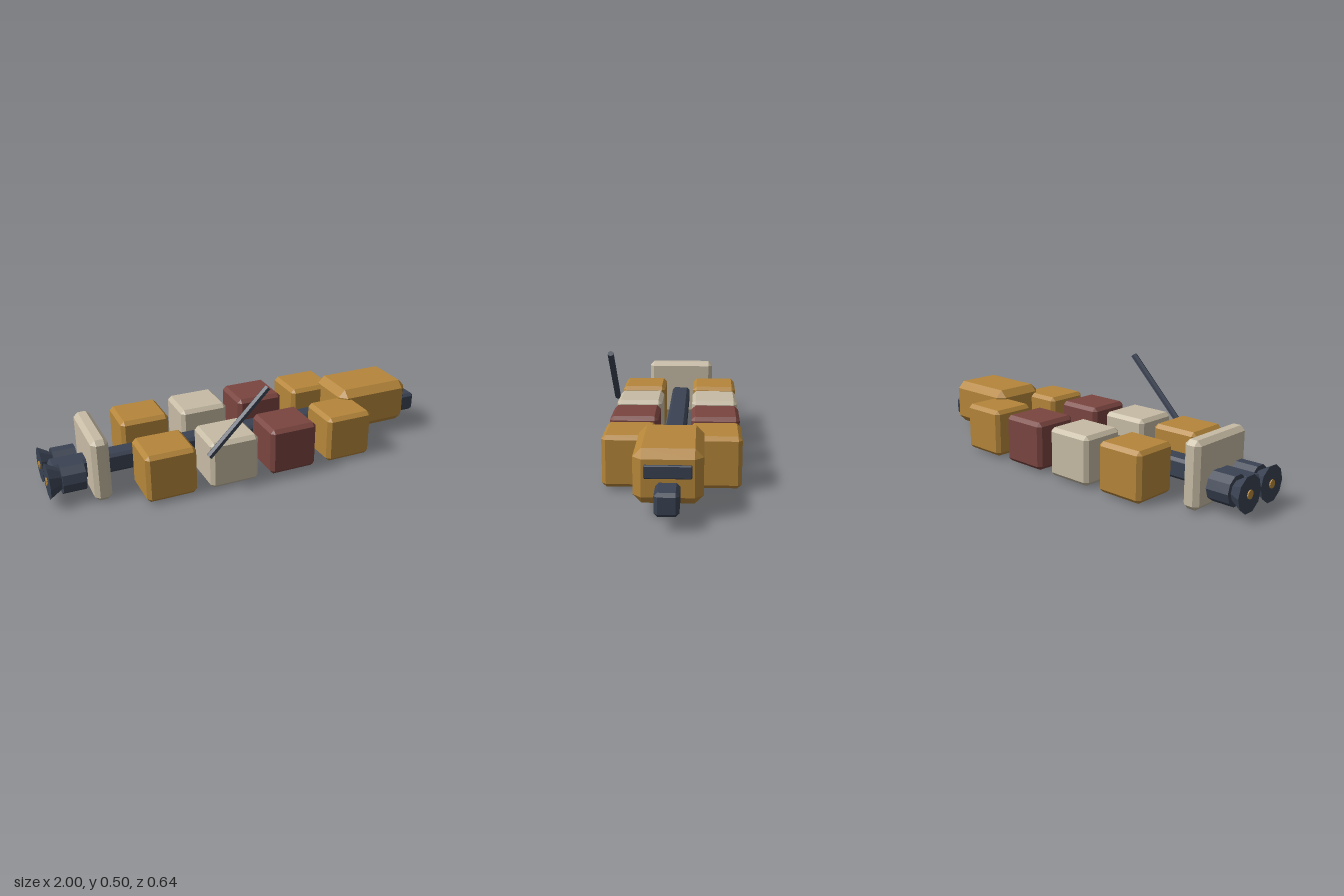
import * as THREE from 'three';
import { ConvexGeometry } from 'three/addons/geometries/ConvexGeometry.js';

const material = (name, color, flatShading = true) => {
  const m = new THREE.MeshStandardMaterial({ color, flatShading });
  m.name = name;
  return m;
};

// Box with 45 degree chamfers on every edge, given by its extents
function chamferBox([x0, x1], [y0, y1], [z0, z1], c) {
  const half = [(x1 - x0) / 2, (y1 - y0) / 2, (z1 - z0) / 2];
  const points = [];
  for (const sx of [-1, 1]) for (const sy of [-1, 1]) for (const sz of [-1, 1]) {
    for (let axis = 0; axis < 3; axis++) {
      const p = half.map((h, i) => (i === axis ? h : h - c));
      points.push(new THREE.Vector3(sx * p[0], sy * p[1], sz * p[2]));
    }
  }
  return new ConvexGeometry(points).translate((x0 + x1) / 2, (y0 + y1) / 2, (z0 + z1) / 2);
}

export function createModel() {
  const group = new THREE.Group();
  group.name = 'cargoShip';
  const amber = material('amber', 0xb5863a);
  const cream = material('cream', 0xc6bba4);
  const maroon = material('maroon', 0x7a4540);
  const slate = material('slate', 0x3a4252);

  const add = (name, geometry, mat) => {
    const mesh = new THREE.Mesh(geometry, mat);
    mesh.name = name;
    group.add(mesh);
    return mesh;
  };
  const midZ = -0.018;

  // Central spine running the whole length
  add('spine', chamferBox([-0.97, 1], [0.061, 0.157], [-0.066, 0.031], 0.014), slate);

  // Command cabin with its window at the nose
  add('cabin', chamferBox([0.485, 0.88], [0.06, 0.285], [-0.157, 0.122], 0.035), amber);
  add('cabinWindow', chamferBox([0.876, 0.892], [0.175, 0.229], [-0.112, 0.077], 0.004), slate);

  // Shield plate ahead of the engines
  add('shieldPlate', chamferBox([-0.805, -0.725], [0, 0.305], [-0.197, 0.162], 0.021), cream);

  // Four cargo containers along each side
  [amber, cream, maroon, amber].forEach((mat, i) => {
    const x = -0.48 + i * 0.306;
    for (const side of [-1, 1]) {
      const z = midZ + side * 0.1885;
      add(`container${i + 1}${side > 0 ? 'Front' : 'Back'}`,
        chamferBox([x - 0.12, x + 0.12], [0.01, 0.243], [z - 0.113, z + 0.113], 0.018), mat);
    }
  });

  // Twin engines with flared nozzles and a small glowing core
  for (const side of [-1, 1]) {
    const end = side > 0 ? 'Front' : 'Back';
    const place = (name, rTop, rBottom, x0, x1, mat) => {
      const g = new THREE.CylinderGeometry(rTop, rBottom, x1 - x0, 10);
      g.rotateZ(-Math.PI / 2);
      add(name + end, g, mat).position.set((x0 + x1) / 2, 0.109, midZ + side * 0.083);
    };
    place('engine', 0.07, 0.07, -0.937, -0.83, slate);
    place('nozzle', 0.045, 0.084, -0.995, -0.93, slate);
    place('engineCore', 0.02, 0.02, -1, -0.994, amber);
  }

  // Slanted six-sided antenna beside the containers
  const rod = new THREE.CylinderGeometry(0.016, 0.016, 0.406, 6, 1, false, Math.PI / 6);
  const antenna = add('antenna', rod, slate);
  antenna.rotation.z = -Math.PI / 4;
  antenna.position.set(-0.17, 0.344, 0.307);

  return group;
}
